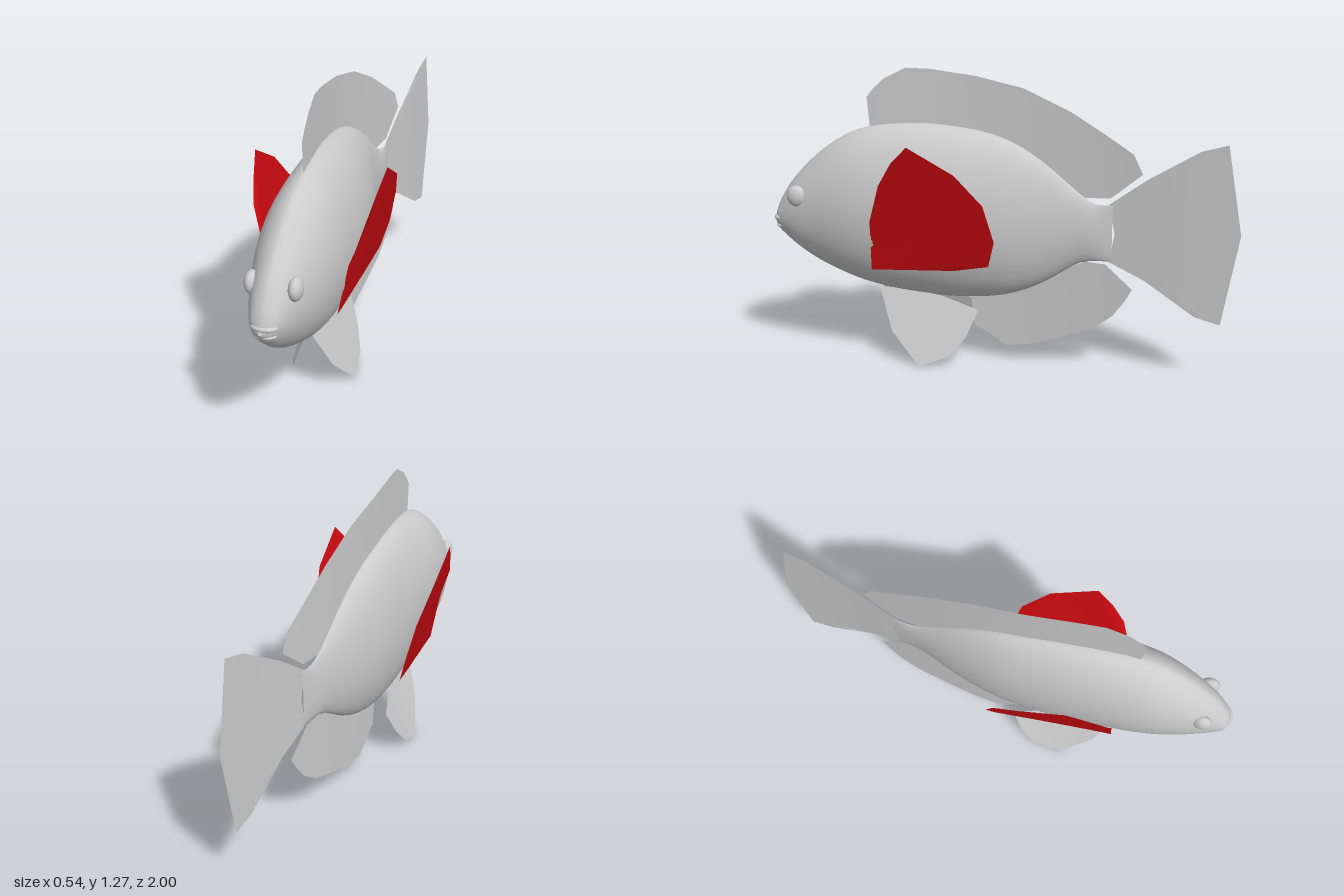
import * as THREE from 'three';

const grey = new THREE.MeshStandardMaterial({ color: 0xcccccc });
const finGrey = new THREE.MeshStandardMaterial({ color: 0xcccccc, side: THREE.DoubleSide });
const finRed = new THREE.MeshStandardMaterial({ color: 0xcc0a10, side: THREE.DoubleSide });

// Smooth curve through rows of [z, ...values], z ascending
function track(rows) {
  const n = rows[0].length - 1;
  const curve = new THREE.CubicInterpolant(rows.map(r => r[0]), rows.flatMap(r => r.slice(1)), n, new Float32Array(n));
  return z => Array.from(curve.evaluate(z));
}

// Sideways swish of the backbone
const spineTrack = track([[-1, 0.09], [-0.75, 0.065], [-0.48, 0.025], [-0.2, -0.003], [0.08, -0.018], [0.3, -0.008], [0.54, 0.01], [0.8, 0.01], [1, 0.008]]);
const spine = z => spineTrack(z)[0];

// Body outline: z, top, bottom, right side x, left side x
const outline = track([
  [-0.48, 0.73, 0.49, 0.022, 0.028], [-0.4, 0.735, 0.485, 0.0, 0.04], [-0.35, 0.765, 0.475, -0.018, 0.044],
  [-0.2, 0.885, 0.38, -0.072, 0.066], [-0.1, 0.95, 0.33, -0.1, 0.09], [0, 0.995, 0.3, -0.123, 0.115],
  [0.2, 1.035, 0.285, -0.143, 0.152], [0.4, 1.043, 0.303, -0.15, 0.166], [0.6, 1.015, 0.345, -0.146, 0.163],
  [0.7, 0.968, 0.38, -0.134, 0.148], [0.8, 0.895, 0.425, -0.11, 0.122], [0.9, 0.795, 0.488, -0.076, 0.09],
  [0.95, 0.725, 0.53, -0.055, 0.067], [0.98, 0.668, 0.56, -0.035, 0.047], [1, 0.605, 0.595, 0.0, 0.012],
]);

// Triangles for a grid of rows, optionally closed around each row
function gridGeometry(positions, rows, cols, closed) {
  const index = [];
  for (let i = 0; i < rows - 1; i++) {
    for (let j = 0; j < (closed ? cols : cols - 1); j++) {
      const a = i * cols + j, b = i * cols + (j + 1) % cols;
      index.push(a, a + cols, b, b, a + cols, b + cols);
    }
  }
  const g = new THREE.BufferGeometry();
  g.setAttribute('position', new THREE.Float32BufferAttribute(positions, 3));
  g.setIndex(index);
  g.computeVertexNormals();
  return g;
}

// Lens-shaped cross-sections, closer together towards the nose
function bodyGeometry() {
  const rows = 72, cols = 48, p = [];
  for (let i = 0; i < rows; i++) {
    const z = -0.48 + 1.48 * Math.sin(i / (rows - 1) * Math.PI / 2);
    const [top, bottom, right, left] = outline(z), mid = spine(z);
    for (let j = 0; j < cols; j++) {
      const a = j / cols * Math.PI * 2, s = Math.sin(a);
      const reach = Math.pow(Math.abs(s), 1.2);
      p.push(mid + ((s > 0 ? left : right) - mid) * reach, (top + bottom) / 2 + (top - bottom) / 2 * Math.cos(a), z);
    }
  }
  return gridGeometry(p, rows, cols, true);
}

// Thin fin spanned between a base line and a rim of [z, y, x?] points
function fin(name, base, rim, xAt, material = finGrey) {
  const steps = 6, p = [];
  for (let i = 0; i <= steps; i++) {
    base.forEach((b, j) => {
      const [z, y, x] = b.map((v, k) => THREE.MathUtils.lerp(v, rim[j][k], i / steps));
      p.push(xAt(z, y, x), y, z);
    });
  }
  return part(name, gridGeometry(p, steps + 1, base.length, false), material);
}

function part(name, geometry, material = grey) {
  const mesh = new THREE.Mesh(geometry, material);
  mesh.name = name;
  return mesh;
}

function ellipsoid(name, position, scale) {
  const mesh = part(name, new THREE.SphereGeometry(1, 24, 16));
  mesh.position.set(...position);
  mesh.scale.set(...scale);
  return mesh;
}

export function createModel() {
  const fish = new THREE.Group();
  fish.name = 'fish';
  fish.add(part('body', bodyGeometry()));

  // Mouth
  fish.add(ellipsoid('upperLip', [0.01, 0.616, 0.968], [0.052, 0.016, 0.032]));
  fish.add(ellipsoid('lowerLip', [0.01, 0.58, 0.962], [0.046, 0.014, 0.03]));

  // Fins along the backbone
  fish.add(fin('dorsalFin',
    [[0.555, 1.0], [0.54, 1.01], [0.5, 1.02], [0.4, 1.02], [0.3, 1.02], [0.1, 1.0], [-0.06, 0.95], [-0.18, 0.88], [-0.28, 0.81], [-0.36, 0.755], [-0.47, 0.76]],
    [[0.567, 1.15], [0.54, 1.185], [0.49, 1.23], [0.4, 1.275], [0.3, 1.272], [0.1, 1.245], [-0.1, 1.2], [-0.3, 1.11], [-0.45, 1.02], [-0.56, 0.95], [-0.6, 0.87]],
    spine));
  fish.add(fin('analFin',
    [[0.13, 0.3], [0.04, 0.31], [-0.04, 0.325], [-0.12, 0.35], [-0.22, 0.4], [-0.3, 0.45], [-0.37, 0.48], [-0.455, 0.475]],
    [[0.115, 0.16], [-0.03, 0.07], [-0.13, 0.085], [-0.25, 0.125], [-0.4, 0.18], [-0.49, 0.25], [-0.54, 0.32], [-0.57, 0.375]],
    spine));
  fish.add(fin('tailFin',
    [[-0.4, 0.73], [-0.42, 0.66], [-0.43, 0.61], [-0.42, 0.55], [-0.4, 0.49]].map(([z, y]) => [z - 0.06, y]),
    [[-0.62, 0.85], [-0.63, 0.73], [-0.63, 0.63], [-0.63, 0.53], [-0.62, 0.42]],
    spine));
  fish.add(fin('tailFinTip',
    [[-0.62, 0.85], [-0.63, 0.73], [-0.63, 0.63], [-0.63, 0.53], [-0.62, 0.42]],
    [[-0.935, 1.01], [-0.967, 0.83], [-1, 0.645], [-0.967, 0.45], [-0.935, 0.26]],
    spine));
  for (const [name, side] of [['tailFinUpperEdge', 1], ['tailFinLowerEdge', -1]]) {
    const edge = side > 0 ? [[-0.62, 0.85], [-0.83, 0.98], [-0.935, 1.01]] : [[-0.62, 0.42], [-0.83, 0.285], [-0.935, 0.26]];
    const chord = [edge[0], [-0.83, side > 0 ? 0.955 : 0.313], edge[2]];
    fish.add(fin(name, chord, edge, spine));
  }

  // Paired parts
  for (const [label, s] of [['left', 1], ['right', -1]]) {
    fish.add(ellipsoid(label + 'Eye', [0.01 + s * 0.083, 0.727, 0.868], [0.027, 0.046, 0.042]));

    const rearShift = s > 0 ? 0.005 : 0.045;
    fish.add(fin(label + 'PelvicFin',
      [[0.53, 0.32], [0.42, 0.315], [0.32, 0.305], [0.25, 0.295], [0.2, 0.28]],
      [[0.46, 0.14], [0.33, 0.005], [0.2, 0.05], [0.13, 0.135], [0.085, 0.245]],
      (z, y) => s * (0.03 + 0.386 * (0.29 - y)) - rearShift * THREE.MathUtils.clamp((0.33 - z) / 0.245, 0, 1)));

    // The rear edge of both pectoral fins leans with the swish
    const root = Array.from({ length: 8 }, (_, i) => [0.52 + 0.01 * i / 7, 0.65 - 0.22 * i / 7, 0.172 - 0.042 * i / 7]);
    fish.add(fin(label + 'PectoralFin', root,
      [[0.46, 0.82, 0.235], [0.4, 0.92, 0.252], [0.33, 0.99, 0.27], [0.14, 0.88, 0.262], [0.03, 0.75, 0.232], [-0.01, 0.59, 0.198], [0.02, 0.475, 0.165], [0.17, 0.445, 0.147]],
      (z, y, x) => s * x - 0.035 * Math.max(0, 0.5 - z), finRed));
  }
  return fish;
}
